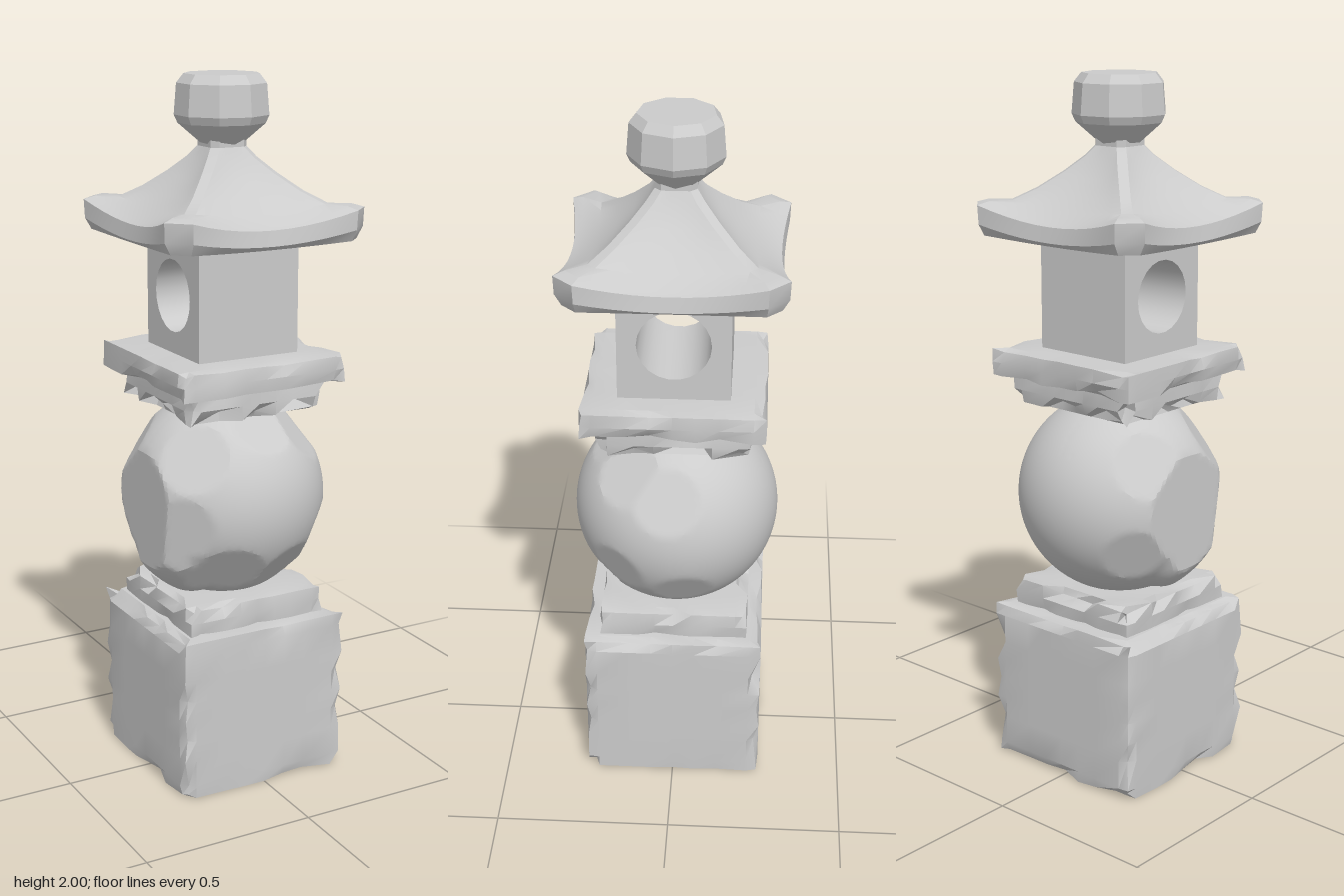
import * as THREE from 'three';
import { toCreasedNormals, mergeVertices } from 'three/addons/utils/BufferGeometryUtils.js';

const stone = new THREE.MeshStandardMaterial({ color: 0xcccccc });

// repeatable 0..1 value for a position
function hash(x, y, z) {
  const s = Math.sin(Math.round(x * 997) * 12.99 + Math.round(y * 997) * 78.23 + Math.round(z * 997) * 37.72) * 43758.55;
  return s - Math.floor(s);
}

function add(group, name, geometry, crease = 0.5) {
  const mesh = new THREE.Mesh(toCreasedNormals(geometry, crease), stone);
  mesh.name = name;
  group.add(mesh);
  return mesh;
}

// block whose edges are nicked inward; topWear and bottomWear set the chip depth
function chippedBlock(w, h, y0, segs, topWear, bottomWear) {
  const ny = h > 0.2 ? segs : 2;
  const geo = new THREE.BoxGeometry(w, h, w, segs, ny, segs);
  const half = [w / 2, h / 2, w / 2], counts = [segs, ny, segs];
  const pos = geo.attributes.position;
  for (let i = 0; i < pos.count; i++) {
    const p = [pos.getX(i), pos.getY(i), pos.getZ(i)];
    const onEdge = p.map((v, k) => Math.abs(v) > half[k] - 1e-4);
    const nick = hash(p[0], p[1] + y0, p[2]) ** 2;
    const wear = p[1] > 0 ? topWear : bottomWear;
    const worn = onEdge.filter(Boolean).length > 1;
    for (let k = 0; k < 3; k++) {
      const sign = Math.sign(p[k]);
      // keep the chips narrow by moving the second row close to the edge
      const second = half[k] * (1 - 2 / counts[k]);
      if (counts[k] > 3 && Math.abs(Math.abs(p[k]) - second) < 1e-4) p[k] = sign * (half[k] - 0.035);
      if (worn && onEdge[k]) p[k] -= sign * nick * wear * (k === 1 ? 0.7 : 1);
    }
    pos.setXYZ(i, p[0], p[1] + y0 + h / 2, p[2]);
  }
  return geo;
}

// weathered ball: a sphere trimmed by flat and shallow cuts
function wornBall() {
  const radius = 0.293;
  let geo = new THREE.IcosahedronGeometry(radius, 22);
  geo.deleteAttribute('normal');
  geo.deleteAttribute('uv');
  geo = mergeVertices(geo, 1e-4);
  const cuts = [
    [-1, 0, 0, 0.25], [0, 1, 0, 0.268], [0, -1, 0, 0.268],
    [0.6, 0.65, 0.45, 0.277], [0.85, 0.5, 0.05, 0.277], [0.75, -0.35, 0.55, 0.28],
    [0.3, -0.65, 0.7, 0.277], [-0.3, -0.6, 0.75, 0.276], [-0.6, 0.55, 0.55, 0.275],
    [0.1, 0.8, 0.6, 0.278], [-0.75, -0.1, 0.65, 0.28], [-0.75, 0.5, -0.45, 0.277],
    [0.8, -0.55, -0.1, 0.28], [-0.7, -0.4, -0.6, 0.28],
  ].map(([x, y, z, d]) => ({ n: new THREE.Vector3(x, y, z).normalize(), d }));
  const bump = new THREE.Vector3(-0.74, -0.62, 0.2).normalize();
  const pos = geo.attributes.position, p = new THREE.Vector3();
  for (let i = 0; i < pos.count; i++) {
    p.fromBufferAttribute(pos, i);
    p.multiplyScalar(1 + 0.07 * THREE.MathUtils.smoothstep(p.dot(bump) / radius, 0.88, 0.97));
    for (const { n, d } of cuts) {
      const over = p.dot(n) - d;
      if (over > 0) p.addScaledVector(n, -over);
    }
    pos.setXYZ(i, p.x, p.y + 0.815, p.z);
  }
  return geo;
}

// square loop with clipped corners; mid and corner give half width and height
function roofLoop([mid, yMid, corner, yCorner, clip]) {
  const loop = [];
  for (let side = 0; side < 4; side++) {
    const a = side * Math.PI / 2;
    for (let k = 0; k <= 10; k++) {
      const t = k / 5 - 1, out = mid + (corner - mid) * t * t, along = t * (corner - clip);
      loop.push(new THREE.Vector3(
        along * Math.cos(a) + out * Math.sin(a),
        yMid + (yCorner - yMid) * t * t,
        out * Math.cos(a) - along * Math.sin(a)));
    }
  }
  return loop;
}

// skin over loops from bottom to top, with end caps
function loft(loops) {
  const n = loops[0].length, index = [], points = loops.flat();
  for (let r = 0; r < loops.length - 1; r++) {
    for (let i = 0; i < n; i++) {
      const a = r * n + i, b = r * n + (i + 1) % n;
      index.push(a, b, b + n, a, b + n, a + n);
    }
  }
  const last = (loops.length - 1) * n;
  const low = points.push(new THREE.Vector3(0, loops[0][0].y, 0)) - 1;
  const high = points.push(new THREE.Vector3(0, loops.at(-1)[0].y, 0)) - 1;
  for (let i = 0; i < n; i++) {
    const j = (i + 1) % n;
    index.push(low, j, i, high, last + i, last + j);
  }
  const geo = new THREE.BufferGeometry().setFromPoints(points);
  geo.setIndex(index);
  return geo;
}

export function createModel() {
  const lantern = new THREE.Group();
  lantern.name = 'stoneLantern';

  // foot, lower collar and ball
  add(lantern, 'baseBlock', chippedBlock(0.515, 0.475, 0, 8, 0.024, 0.024));
  add(lantern, 'lowerCollar', chippedBlock(0.43, 0.08, 0.472, 8, 0.055, 0.01));
  add(lantern, 'ball', wornBall(), 0.3);

  // upper collar and platform
  add(lantern, 'upperCollar', chippedBlock(0.43, 0.085, 1.08, 8, 0.01, 0.07));
  add(lantern, 'platform', chippedBlock(0.51, 0.078, 1.162, 8, 0.018, 0.02));

  // light chamber with a round opening from side to side
  const wall = new THREE.Shape();
  const h = 0.155, c = 0.008;
  wall.setFromPoints([[-h + c, 0], [h - c, 0], [h, c], [h, 0.33], [-h, 0.33], [-h, c]]
    .map(([x, y]) => new THREE.Vector2(x, y)));
  const opening = new THREE.Path();
  opening.absarc(0, 0.17, 0.102, 0, Math.PI * 2, true);
  wall.holes.push(opening);
  const chamber = new THREE.ExtrudeGeometry(wall, { depth: 2 * h, bevelEnabled: false, curveSegments: 11 });
  chamber.translate(0, 1.232, -h).rotateY(Math.PI / 2);
  add(lantern, 'lightChamber', chamber);

  // swept roof: underside, eave edge, then the curved slopes up to the neck
  const roofRings = [
    [0.15, 1.556, 0.15, 1.556, 0.01],
    [0.27, 1.556, 0.285, 1.563, 0.04],
    [0.288, 1.568, 0.303, 1.595, 0.055],
    [0.281, 1.61, 0.305, 1.648, 0.055],
    [0.265, 1.615, 0.275, 1.657, 0.04],
    [0.215, 1.643, 0.22, 1.658, 0.022],
    [0.165, 1.678, 0.17, 1.69, 0.02],
    [0.115, 1.722, 0.118, 1.735, 0.02],
    [0.075, 1.77, 0.077, 1.777, 0.02],
    [0.056, 1.805, 0.056, 1.805, 0.018],
    [0.056, 1.83, 0.056, 1.83, 0.018],
  ];
  add(lantern, 'roof', loft(roofRings.map(roofLoop)), 0.45);

  // faceted finial
  const profile = [[0, 1.805], [0.055, 1.81], [0.122, 1.868], [0.132, 1.89], [0.125, 1.975], [0.105, 2], [0, 2]]
    .map(([x, y]) => new THREE.Vector2(x, y));
  add(lantern, 'finial', new THREE.LatheGeometry(profile, 9, 0.15), 0.2);

  return lantern;
}
